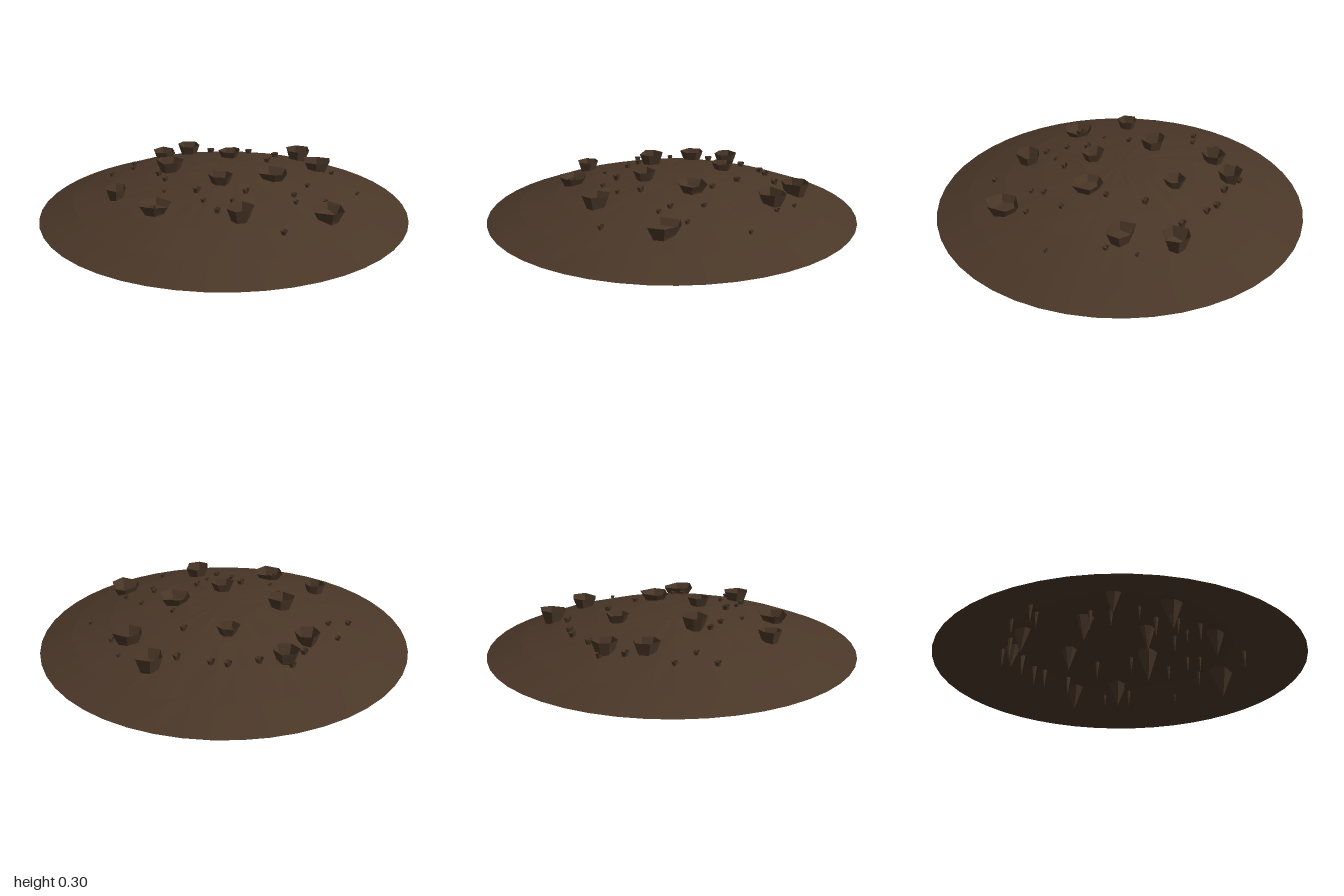
import * as THREE from 'three';

const soil = new THREE.MeshStandardMaterial({ color: 0x4a3728, side: THREE.DoubleSide, flatShading: true });
soil.name = 'dark soil brown';

// Small seeded generator for the irregular facets
let seed = 7;
const rand = () => (seed = (seed * 16807) % 2147483647) / 2147483647;
const jitter = (a) => (rand() - 0.5) * 2 * a;

const domeHeight = (r) => 0.255 - 0.21 * r * r;

// Surface through closed rings of equal point count; a ring may shrink to a point
function skin(rings) {
  const n = rings[0].length, index = [];
  for (let i = 0; i < rings.length - 1; i++) {
    for (let j = 0; j < n; j++) {
      const a = i * n + j, b = i * n + (j + 1) % n;
      index.push(a, b, a + n, b, b + n, a + n);
    }
  }
  const geometry = new THREE.BufferGeometry().setFromPoints(rings.flat());
  geometry.setIndex(index);
  geometry.computeVertexNormals();
  return geometry;
}

// Shallow open shell with slightly uneven facets
function buildMound() {
  const n = 48;
  const rings = [0, 0.2, 0.42, 0.62, 0.82, 1].map((r) =>
    Array.from({ length: n }, (_, j) => {
      const inner = r > 0 && r < 1;
      const rr = r + (inner ? jitter(0.015) : 0);
      const a = -j / n * Math.PI * 2;
      const y = domeHeight(rr) + (inner ? jitter(0.0015) : 0);
      return new THREE.Vector3(rr * Math.cos(a), y, rr * Math.sin(a));
    }));
  return skin(rings);
}

// Open, faceted cone: flared rim above the mound, point hanging below it
function buildPit(x, z, rx, rz, rim, tip, sides) {
  const ground = domeHeight(Math.hypot(x, z));
  const turn = rand() * Math.PI * 2;
  const spokes = Array.from({ length: sides }, (_, j) => ({
    a: turn - (j + jitter(0.15)) / sides * Math.PI * 2,
    s: 1 + jitter(0.08),
  }));
  const ring = (scale, y, wobble) => spokes.map(({ a, s }) => new THREE.Vector3(
    x + rx * s * scale * Math.cos(a), y + jitter(wobble), z + rz * s * scale * Math.sin(a)));
  return skin([ring(0, tip, 0), ring(0.7, ground, 0), ring(1, rim, rx * 0.05)]);
}

export function createModel() {
  const model = new THREE.Group();
  model.name = 'pittedMound';
  const add = (name, geometry, parent) => {
    const mesh = new THREE.Mesh(geometry, soil);
    mesh.name = name;
    parent.add(mesh);
  };
  add('mound', buildMound(), model);

  // Large pits: x, z, radius x, radius z, rim height, tip height
  const large = new THREE.Group();
  large.name = 'largePits';
  [
    [0.33, -0.58, 0.08, 0.075, 0.23, 0.035], [0.47, -0.35, 0.085, 0.075, 0.24, 0.05],
    [-0.04, -0.33, 0.06, 0.06, 0.275, 0.1], [-0.33, -0.5, 0.067, 0.065, 0.24, 0.06],
    [-0.44, -0.33, 0.068, 0.07, 0.245, 0.06], [-0.31, -0.01, 0.078, 0.068, 0.295, 0.09],
    [0.27, 0.01, 0.085, 0.08, 0.28, 0.06], [0.02, 0.17, 0.064, 0.06, 0.297, 0.11],
    [-0.51, 0.32, 0.055, 0.06, 0.235, 0.06], [-0.24, 0.49, 0.085, 0.085, 0.235, 0.04],
    [0.19, 0.5, 0.07, 0.075, 0.255, 0.06], [0.6, 0.31, 0.08, 0.095, 0.208, 0],
  ].forEach((p) => add('largePit', buildPit(...p, 6), large));
  model.add(large);

  // Small pits: x, z, radius
  const small = new THREE.Group();
  small.name = 'smallPits';
  [
    [-0.05, -0.58, 0.022], [0.03, -0.57, 0.021], [-0.2, -0.54, 0.022], [0.2, -0.53, 0.022],
    [0.5, -0.47, 0.012], [0.56, -0.33, 0.016], [0.19, -0.3, 0.02], [-0.42, -0.43, 0.022],
    [-0.6, -0.25, 0.017], [-0.56, -0.12, 0.016], [-0.67, -0.06, 0.018], [-0.35, 0.06, 0.02],
    [-0.29, 0.15, 0.018], [-0.25, 0.3, 0.012], [-0.08, 0.29, 0.023], [0.17, 0.25, 0.02],
    [0.27, -0.11, 0.017], [0.46, 0.03, 0.016], [0.72, -0.09, 0.012], [0.41, 0.19, 0.017],
    [0.43, 0.26, 0.015], [0.57, 0.17, 0.016], [0.12, 0.36, 0.014], [-0.02, 0.39, 0.016],
    [0.07, 0.47, 0.019], [0.41, 0.55, 0.018], [-0.26, 0.49, 0.023], [-0.36, -0.54, 0.02],
  ].forEach(([x, z, r]) => {
    const ground = domeHeight(Math.hypot(x, z));
    add('smallPit', buildPit(x, z, r, r, ground + r, ground - 0.03 - r * 4, 6), small);
  });
  model.add(small);
  return model;
}
